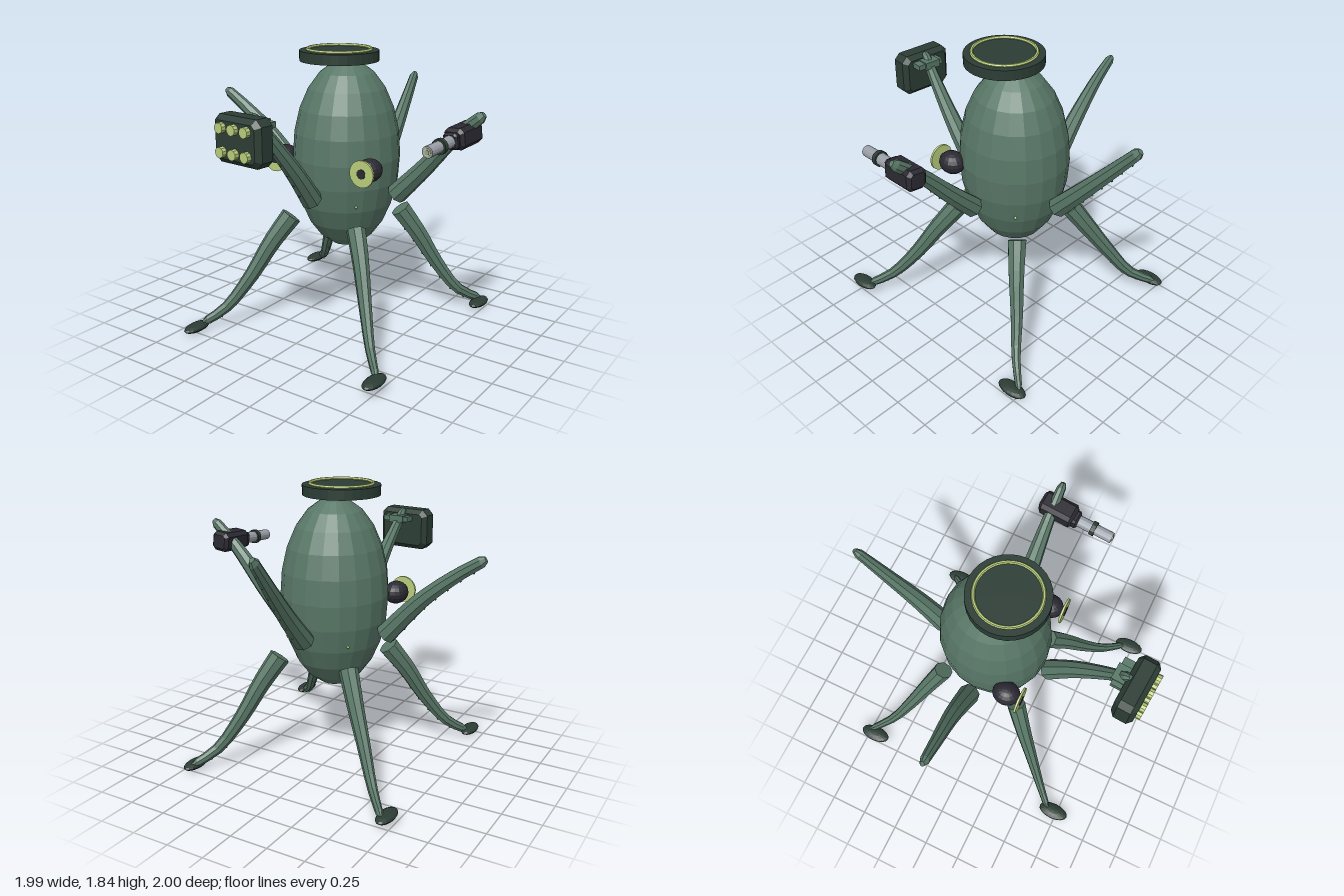
import * as THREE from 'three';

const mat = (name, color) => Object.assign(new THREE.MeshStandardMaterial({ color }), { name });

// Split faces so each keeps its own flat normal
function flat(geo) {
  const g = geo.index ? geo.toNonIndexed() : geo;
  g.computeVertexNormals();
  return g;
}

function add(parent, name, geo, material, x = 0, y = 0, z = 0) {
  const m = new THREE.Mesh(flat(geo), material);
  m.name = name;
  m.position.set(x, y, z);
  parent.add(m);
  return m;
}

// Cylinder lying along z
const rod = (rFront, rBack, len, sides) => new THREE.CylinderGeometry(rFront, rBack, len, sides).rotateX(Math.PI / 2);

// Box with all edges cut at an angle
function chamferBox(w, h, d, c) {
  const x = w / 2 - c, y = h / 2 - c, k = c * 0.7;
  const s = new THREE.Shape([
    [-x + k, -y], [x - k, -y], [x, -y + k], [x, y - k],
    [x - k, y], [-x + k, y], [-x, y - k], [-x, -y + k],
  ].map(p => new THREE.Vector2(...p)));
  return new THREE.ExtrudeGeometry(s, {
    depth: d - 2 * c, bevelEnabled: true, bevelSegments: 1, bevelSize: c, bevelThickness: c,
  }).translate(0, 0, -d / 2 + c);
}

// Tapered eight-sided limb swept along a curve, with a blunt base and rounded tip
function limb(points, wide, tall) {
  const curve = new THREE.CatmullRomCurve3(points.map(p => new THREE.Vector3(...p)));
  const dir = curve.getPoint(1).sub(curve.getPoint(0)).setY(0).normalize();
  const side = new THREE.Vector3(0, 1, 0).cross(dir);
  const frame = t => {
    const c = curve.getPointAt(t), T = curve.getTangentAt(t);
    return { c, T, up: T.clone().cross(side).normalize(),
      a: THREE.MathUtils.lerp(wide[0], wide[1], t), b: THREE.MathUtils.lerp(tall[0], tall[1], t) };
  };
  const N = 8, steps = [0, 0.1, 0.2, 0.3, 0.4, 0.5, 0.6, 0.7, 0.8, 0.9, 0.96, 1];
  const pos = [], idx = [];
  steps.forEach((t, i) => {
    const f = frame(t), k = i === steps.length - 1 ? 0.55 : 1;
    for (let j = 0; j < N; j++) {
      const q = (j + 0.5) / N * Math.PI * 2;
      const p = f.c.clone().addScaledVector(side, Math.cos(q) * f.a * k * 1.06)
        .addScaledVector(f.up, Math.sin(q) * f.b * k * 1.06);
      pos.push(p.x, p.y, p.z);
    }
  });
  for (let i = 0; i < steps.length - 1; i++) {
    for (let j = 0; j < N; j++) {
      const a = i * N + j, b = i * N + (j + 1) % N;
      idx.push(a, b, a + N, b, b + N, a + N);
    }
  }
  const last = (steps.length - 1) * N;
  for (let j = 1; j < N - 1; j++) idx.push(0, j + 1, j, last, last + j, last + j + 1);
  const geo = new THREE.BufferGeometry();
  geo.setAttribute('position', new THREE.Float32BufferAttribute(pos, 3));
  geo.setIndex(idx);
  return { geo, frame };
}

export function createModel() {
  const green = mat('shell green', 0x587767);
  const darkGreen = mat('dark green', 0x2c3d35);
  const black = mat('charcoal', 0x2b2932);
  const grey = mat('barrel grey', 0x9a9fa8);
  const lime = mat('lamp lime', 0xb9cd7b);
  const root = new THREE.Group();
  root.name = 'tentacledRobot';

  // Egg-shaped body
  const body = add(root, 'body', new THREE.SphereGeometry(1, 20, 12), green, 0.015, 1.15, -0.05);
  body.scale.set(0.345, 0.62, 0.36);

  // Floating crown disc with a glowing ring
  add(root, 'crownDisc', new THREE.CylinderGeometry(0.25, 0.25, 0.065, 32), darkGreen, 0.015, 1.803, 0.035);
  add(root, 'crownRing', new THREE.TorusGeometry(0.199, 0.011, 6, 40).rotateX(Math.PI / 2), lime, 0.015, 1.842, 0.035);

  // Eyes
  for (const [x, s] of [[0.34, 1], [-0.31, -1]]) {
    const eye = new THREE.Group();
    eye.name = s > 0 ? 'leftEye' : 'rightEye';
    eye.position.set(x, 1.14, 0.18);
    root.add(eye);
    add(eye, 'eyeball', new THREE.SphereGeometry(1, 16, 10), black).scale.set(0.078, 0.073, 0.09);
    add(eye, 'iris', rod(0.085, 0.085, 0.014, 24), lime, s * 0.007, 0, 0.097);
    add(eye, 'pupil', rod(0.031, 0.031, 0.006, 10), black, s * 0.007, 0, 0.106);
  }

  // Small lamps above the legs
  for (const sx of [-1, 1]) for (const sz of [-1, 1])
    add(root, 'bodyLamp', new THREE.OctahedronGeometry(0.014), lime, 0.015 + sx * 0.223, 0.88, -0.05 + sz * 0.223);

  // Raised arms and walking legs
  const limbs = {
    leftArm: [[0.395, 0.94, -0.055], [0.58, 1.13, -0.055], [0.79, 1.36, -0.05], [0.98, 1.525, -0.043]],
    rightArm: [[-0.36, 0.93, -0.06], [-0.6, 1.19, -0.05], [-0.82, 1.37, -0.03], [-0.985, 1.48, -0.02]],
    backArm: [[0.015, 0.93, -0.43], [0.015, 1.13, -0.61], [0, 1.36, -0.81], [-0.015, 1.56, -0.98]],
    frontArm: [[0.015, 0.93, 0.335], [0.015, 1.14, 0.5], [-0.005, 1.36, 0.68], [-0.035, 1.555, 0.84]],
    frontLeftLeg: [[0.27, 0.75, 0.22], [0.37, 0.58, 0.315], [0.48, 0.36, 0.43], [0.6, 0.17, 0.56], [0.72, 0.075, 0.68]],
    frontRightLeg: [[-0.24, 0.75, 0.22], [-0.33, 0.58, 0.315], [-0.425, 0.35, 0.43], [-0.54, 0.14, 0.56], [-0.645, 0.045, 0.67]],
    backLeftLeg: [[0.27, 0.75, -0.32], [0.36, 0.58, -0.4], [0.46, 0.35, -0.5], [0.58, 0.14, -0.61], [0.69, 0.045, -0.74]],
    backRightLeg: [[-0.24, 0.75, -0.32], [-0.33, 0.58, -0.4], [-0.45, 0.36, -0.5], [-0.57, 0.16, -0.61], [-0.695, 0.07, -0.74]],
  };
  for (const [name, points] of Object.entries(limbs)) {
    const isArm = name.endsWith('Arm');
    const { geo, frame } = limb(points, isArm ? [0.066, 0.026] : [0.058, 0.02], isArm ? [0.064, 0.034] : [0.066, 0.028]);
    add(root, name, geo, green);
    // Small studs along the underside
    for (let t = 0.15; t < 0.9; t += 0.12) {
      const f = frame(t);
      const p = f.c.clone().addScaledVector(f.up, -f.b * 0.98);
      add(root, name + 'Stud', new THREE.OctahedronGeometry(0.009), green, p.x, p.y, p.z);
    }
  }

  // Feet
  for (const [x, y, z] of [[0.735, 0.075, 0.725], [-0.655, 0.033, 0.725], [0.705, 0.035, -0.695], [-0.71, 0.063, -0.695]])
    add(root, 'foot', new THREE.SphereGeometry(1, 16, 8), darkGreen, x, y, z).scale.set(0.054, 0.026, 0.105);

  // Launcher pod on the front arm
  const pod = new THREE.Group();
  pod.name = 'launcherPod';
  pod.position.set(-0.042, 1.42, 0.89);
  pod.rotation.y = -0.08;
  root.add(pod);
  add(pod, 'podCase', chamferBox(0.365, 0.28, 0.145, 0.03), darkGreen);
  for (const x of [-0.097, 0, 0.097]) for (const y of [-0.07, 0.07])
    add(pod, 'podTube', rod(0.032, 0.032, 0.04, 10), lime, x, y, 0.083);
  add(pod, 'podBracket', new THREE.BoxGeometry(0.19, 0.035, 0.075), green, 0.02, 0.08, -0.105);
  add(pod, 'podClamp', new THREE.BoxGeometry(0.11, 0.05, 0.09), green, 0.01, 0.08, -0.11);

  // Cannon on the left arm
  const gun = new THREE.Group();
  gun.name = 'cannon';
  gun.position.set(0.867, 1.395, -0.015);
  gun.rotation.set(0.06, -0.06, 0.1);
  root.add(gun);
  add(gun, 'cannonCase', chamferBox(0.135, 0.13, 0.24, 0.02), black);
  add(gun, 'cannonCollar', chamferBox(0.095, 0.1, 0.05, 0.012), black, -0.005, -0.005, 0.125);
  add(gun, 'barrelRear', rod(0.038, 0.038, 0.12, 14), grey, -0.005, -0.005, 0.2);
  add(gun, 'barrelRing', rod(0.048, 0.048, 0.03, 14), darkGreen, -0.005, -0.005, 0.255);
  add(gun, 'barrelFront', rod(0.036, 0.036, 0.12, 14), grey, -0.005, -0.005, 0.327);
  add(gun, 'muzzleRim', rod(0.024, 0.024, 0.006, 12), lime, -0.005, -0.005, 0.388);
  add(gun, 'muzzleCore', rod(0.015, 0.015, 0.006, 12), grey, -0.005, -0.005, 0.391);

  return root;
}
